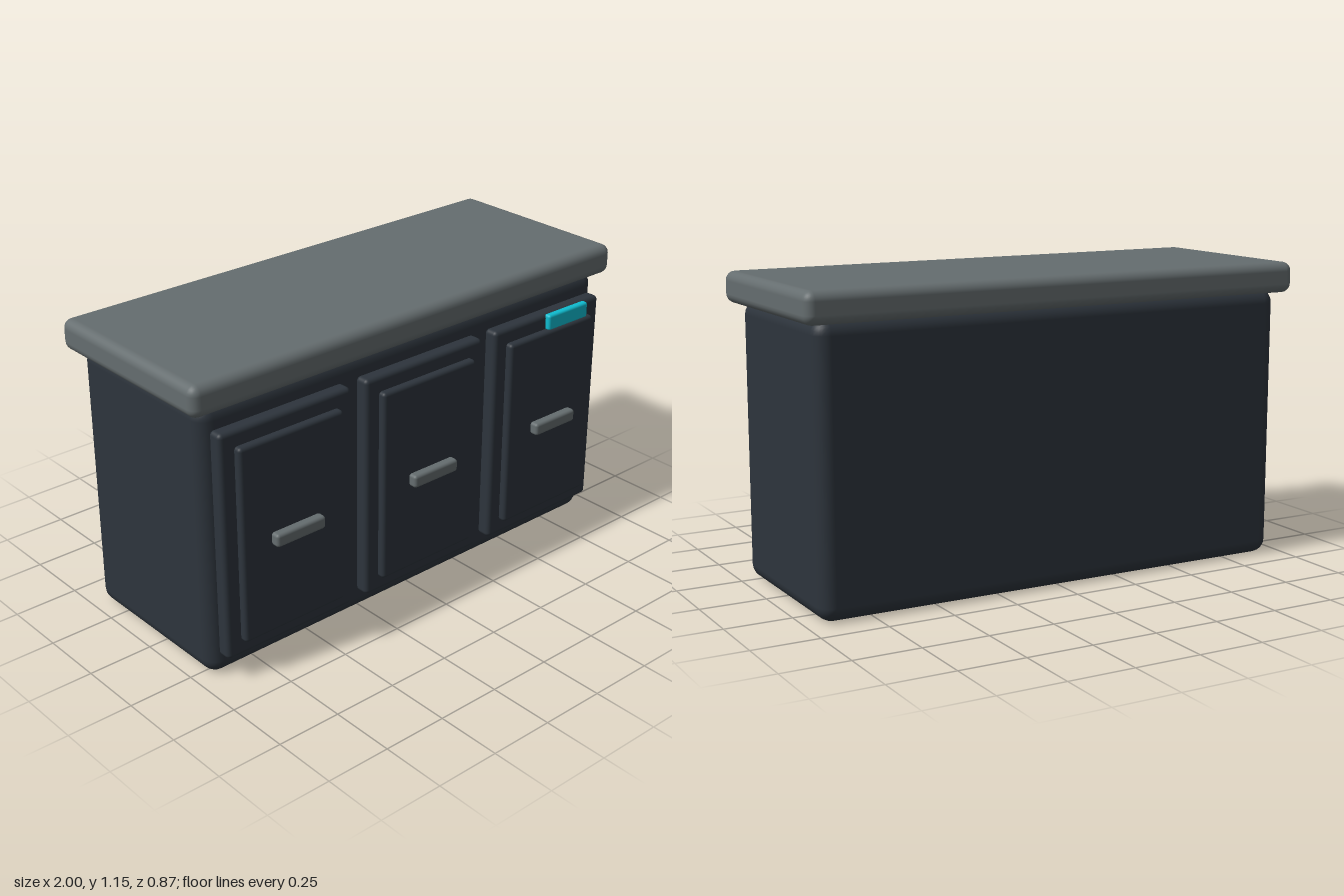
import * as THREE from 'three';
import { RoundedBoxGeometry } from 'three/addons/geometries/RoundedBoxGeometry.js';

const flat = (name, color) => {
  const m = new THREE.MeshStandardMaterial({ color });
  m.name = name;
  return m;
};

export function createModel() {
  const charcoal = flat('charcoal', 0x2d343c);
  const stone = flat('stoneGrey', 0x656d6f);
  const cyan = flat('cyan', 0x0fbcd0);

  // Rounded box given by its [min, max] extents on each axis
  const block = (name, material, [x0, x1], [y0, y1], [z0, z1], radius) => {
    const geometry = new RoundedBoxGeometry(x1 - x0, y1 - y0, z1 - z0, 3, radius);
    const mesh = new THREE.Mesh(geometry, material);
    mesh.name = name;
    mesh.position.set((x0 + x1) / 2, (y0 + y1) / 2, (z0 + z1) / 2);
    return mesh;
  };

  const model = new THREE.Group();
  model.name = 'cabinet';
  model.add(
    block('body', charcoal, [-0.95, 0.95], [0, 1.045], [-0.395, 0.31], 0.055),
    block('countertop', stone, [-1, 1], [1.03, 1.147], [-0.432, 0.346], 0.035),
  );

  // Three doors, each with a raised panel and a bar handle
  ['rightDoor', 'middleDoor', 'leftDoor'].forEach((name, i) => {
    const door = new THREE.Group();
    door.name = name;
    door.position.x = (i - 1) * 0.634;
    door.add(
      block('doorFrame', charcoal, [-0.283, 0.283], [0.09, 0.963], [0.305, 0.365], 0.017),
      block('doorPanel', charcoal, [-0.225, 0.225], [0.15, 0.905], [0.355, 0.394], 0.014),
      block('handle', stone, [-0.107, 0.107], [0.503, 0.553], [0.394, 0.434], 0.012),
    );
    model.add(door);
  });

  // Bright indicator above the panel of the left door
  model.add(block('indicator', cyan, [0.62, 0.835], [0.9, 0.963], [0.355, 0.385], 0.01));
  return model;
}
